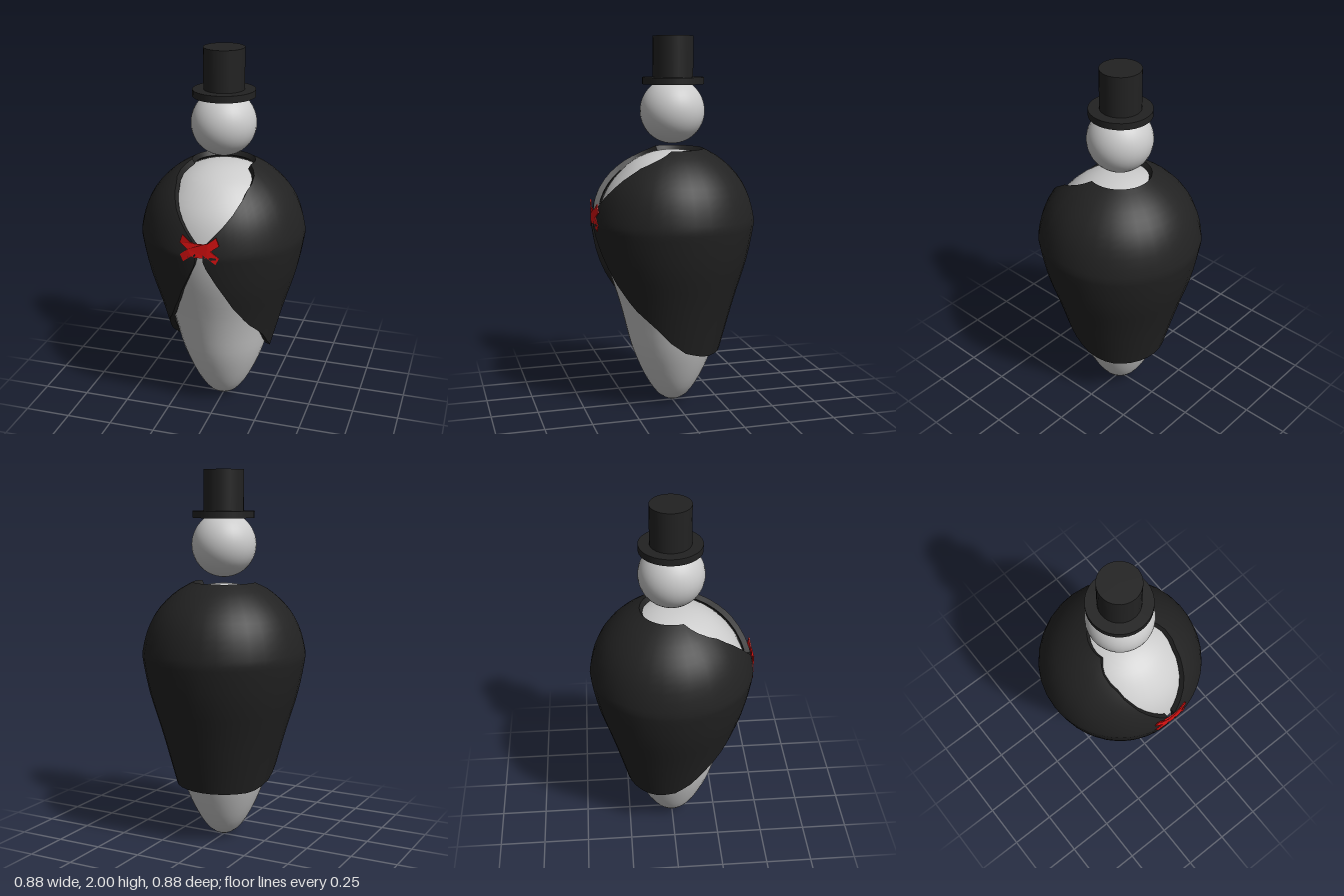
import * as THREE from 'three';
import { toCreasedNormals } from 'three/addons/utils/BufferGeometryUtils.js';

const V2 = (p) => new THREE.Vector2(p[0], p[1]);

// Outer coat outline as (radius, height), bottom to top
const coatCurve = new THREE.SplineCurve([
  [0.257, 0.31], [0.336, 0.6], [0.4, 0.81], [0.434, 0.98], [0.437, 1.05],
  [0.405, 1.17], [0.347, 1.27], [0.257, 1.357], [0.167, 1.41],
].map(V2));

// Coat edges as (angle from the front, height)
const lowerEdge = [[0.047, 1.0], [0.08, 0.96], [0.2, 0.865], [0.41, 0.72], [0.66, 0.6],
  [1.0, 0.505], [1.27, 0.415], [1.57, 0.35], [1.95, 0.318], [2.15, 0.31], [Math.PI, 0.31]];
const upperEdge = [[0.047, 1.09], [0.08, 1.1], [0.27, 1.18], [0.5, 1.27], [0.71, 1.33],
  [1.03, 1.375], [1.27, 1.41], [Math.PI, 1.41]];

function lookup(table, x) {
  for (let i = 1; i < table.length; i++) {
    const [x0, y0] = table[i - 1], [x1, y1] = table[i];
    if (x <= x1) return y0 + (y1 - y0) * (x - x0) / (x1 - x0);
  }
  return table[table.length - 1][1];
}

// Curve parameter at a given height
function paramAt(y) {
  let a = 0, b = 1;
  for (let i = 0; i < 24; i++) {
    const m = (a + b) / 2;
    if (coatCurve.getPoint(m).y < y) a = m; else b = m;
  }
  return (a + b) / 2;
}

// Closed cross-section of the coat at one angle: up the outside, down the inside
function coatLoop(angle, rows, thickness) {
  const u0 = paramAt(lookup(lowerEdge, Math.abs(angle)));
  const u1 = paramAt(lookup(upperEdge, Math.abs(angle)));
  const outer = [], inner = [];
  for (let i = 0; i <= rows; i++) {
    const u = u0 + (u1 - u0) * i / rows;
    const p = coatCurve.getPoint(u), t = coatCurve.getTangent(u);
    const place = (r, y) => [r * Math.sin(angle), y, r * Math.cos(angle)];
    outer.push(place(p.x, p.y));
    inner.unshift(place(p.x - t.y * thickness, p.y + t.x * thickness));
  }
  return outer.concat(inner);
}

function coatGeometry() {
  const rows = 20;
  const half = [0.047, 0.08, 0.14, 0.2, 0.3, 0.41, 0.5, 0.6, 0.71, 0.85, 1.03, 1.15, 1.27, 1.42, 1.57];
  for (let i = 1; i <= 8; i++) half.push(1.57 + (Math.PI - 1.57) * i / 8);
  // Once around, from the left front edge past the back to the right front edge
  const angles = half.concat(half.slice(0, -1).reverse().map((a) => 2 * Math.PI - a));
  const loops = angles.map((a) => coatLoop(a > Math.PI ? a - 2 * Math.PI : a, rows, 0.03));
  const n = loops[0].length, index = [];
  const quad = (a, b, c, d) => index.push(a, b, c, a, c, d);
  for (let j = 0; j < loops.length - 1; j++) {
    for (let i = 0; i < n; i++) {
      const k = (i + 1) % n;
      quad(j * n + i, (j + 1) * n + i, (j + 1) * n + k, j * n + k);
    }
  }
  // Front edges
  const last = (loops.length - 1) * n;
  for (let i = 0; i < rows; i++) {
    const o = i, p = i + 1, q = n - 2 - i, r = n - 1 - i;
    quad(o, p, q, r);
    quad(last + o, last + r, last + q, last + p);
  }
  const g = new THREE.BufferGeometry();
  g.setAttribute('position', new THREE.Float32BufferAttribute(loops.flat(2), 3));
  g.setIndex(index);
  return toCreasedNormals(g, 0.8);
}

function bowGeometry() {
  // Right half of the bow, mirrored for the other half
  const half = [[0.02, 1.1], [0.045, 1.105], [0.088, 1.14], [0.103, 1.095], [0.06, 1.065],
    [0.103, 1.03], [0.085, 0.995], [0.04, 1.03], [0.02, 1.025]];
  const points = half.concat(half.map(([x, y]) => [-x, y]).reverse());
  const g = new THREE.ExtrudeGeometry(new THREE.Shape(points.map(V2)), { depth: 0.006, bevelEnabled: false });
  // Bend it around the chest
  const p = g.attributes.position;
  for (let i = 0; i < p.count; i++) p.setZ(i, p.getZ(i) + 0.434 - 1.1 * p.getX(i) ** 2);
  g.computeVertexNormals();
  return g;
}

export function createModel() {
  const group = new THREE.Group();
  const grey = new THREE.MeshStandardMaterial({ color: 0xcccccc });
  const black = new THREE.MeshStandardMaterial({ color: 0x222222 });
  const red = new THREE.MeshStandardMaterial({ color: 0xdd1111 });
  const add = (name, geometry, material, y = 0, z = 0) => {
    const mesh = new THREE.Mesh(geometry, material);
    mesh.name = name;
    mesh.position.set(0, y, z);
    group.add(mesh);
    return mesh;
  };

  // Pear-shaped body, pointed at the foot
  const bodyProfile = new THREE.SplineCurve([
    [0, 0.005], [0.08, 0.05], [0.153, 0.157], [0.224, 0.325], [0.268, 0.495], [0.305, 0.63],
    [0.367, 0.825], [0.399, 0.98], [0.401, 1.04], [0.371, 1.15], [0.32, 1.24], [0.235, 1.328],
    [0.15, 1.376], [0.07, 1.398], [0, 1.403],
  ].map(V2)).getPoints(42);
  bodyProfile.forEach((p) => { p.x = Math.max(p.x, 0); });
  add('body', new THREE.LatheGeometry(bodyProfile, 36), grey);

  add('coat', coatGeometry(), black);
  add('bowTie', bowGeometry(), red);

  // Head and top hat
  add('head', new THREE.SphereGeometry(0.172, 32, 24), grey, 1.609);
  add('hatBrim', new THREE.CylinderGeometry(0.164, 0.164, 0.036, 32), black, 1.767, -0.004);
  add('hatCrown', new THREE.CylinderGeometry(0.107, 0.107, 0.23, 32), black, 1.885, -0.004);
  return group;
}
